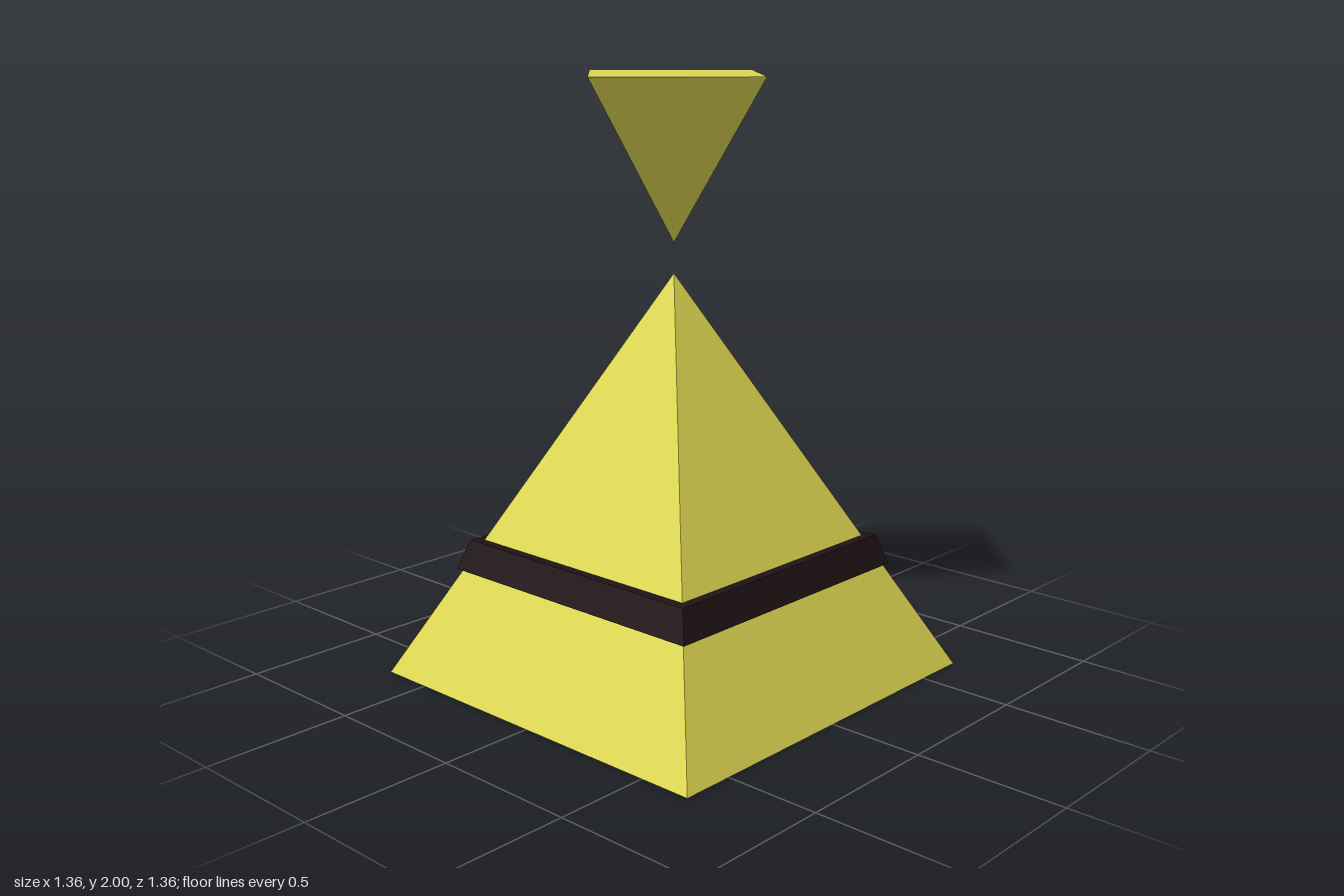
import * as THREE from 'three';

const yellow = new THREE.MeshStandardMaterial({ color: 0xded850, flatShading: true });
const dark = new THREE.MeshStandardMaterial({ color: 0x201416, flatShading: true });

// Square frustum with half widths at top and bottom, sides facing the axes
function frustum(name, halfTop, halfBottom, y0, y1, material) {
  const geometry = new THREE.CylinderGeometry(halfTop * Math.SQRT2, halfBottom * Math.SQRT2, y1 - y0, 4);
  geometry.rotateY(Math.PI / 4).translate(0, (y0 + y1) / 2, 0);
  const mesh = new THREE.Mesh(geometry, material);
  mesh.name = name;
  return mesh;
}

export function createModel() {
  const group = new THREE.Group();
  group.name = 'pyramidWithFloatingCrystal';

  // Main pyramid and the band around it
  group.add(frustum('pyramid', 0, 0.68, 0, 1.36, yellow));
  group.add(frustum('band', 0.48, 0.515, 0.365, 0.465, dark));

  // Inverted pyramid floating above, corners on the axes, leaning slightly about its tip
  const height = 0.537;
  const geometry = new THREE.CylinderGeometry(0.38, 0, height, 4).translate(0, height / 2, 0);
  const crystal = new THREE.Mesh(geometry, yellow);
  crystal.name = 'floatingCrystal';
  crystal.position.y = 1.46;
  crystal.rotation.set(0.009, 0, 0.009);
  group.add(crystal);

  return group;
}
